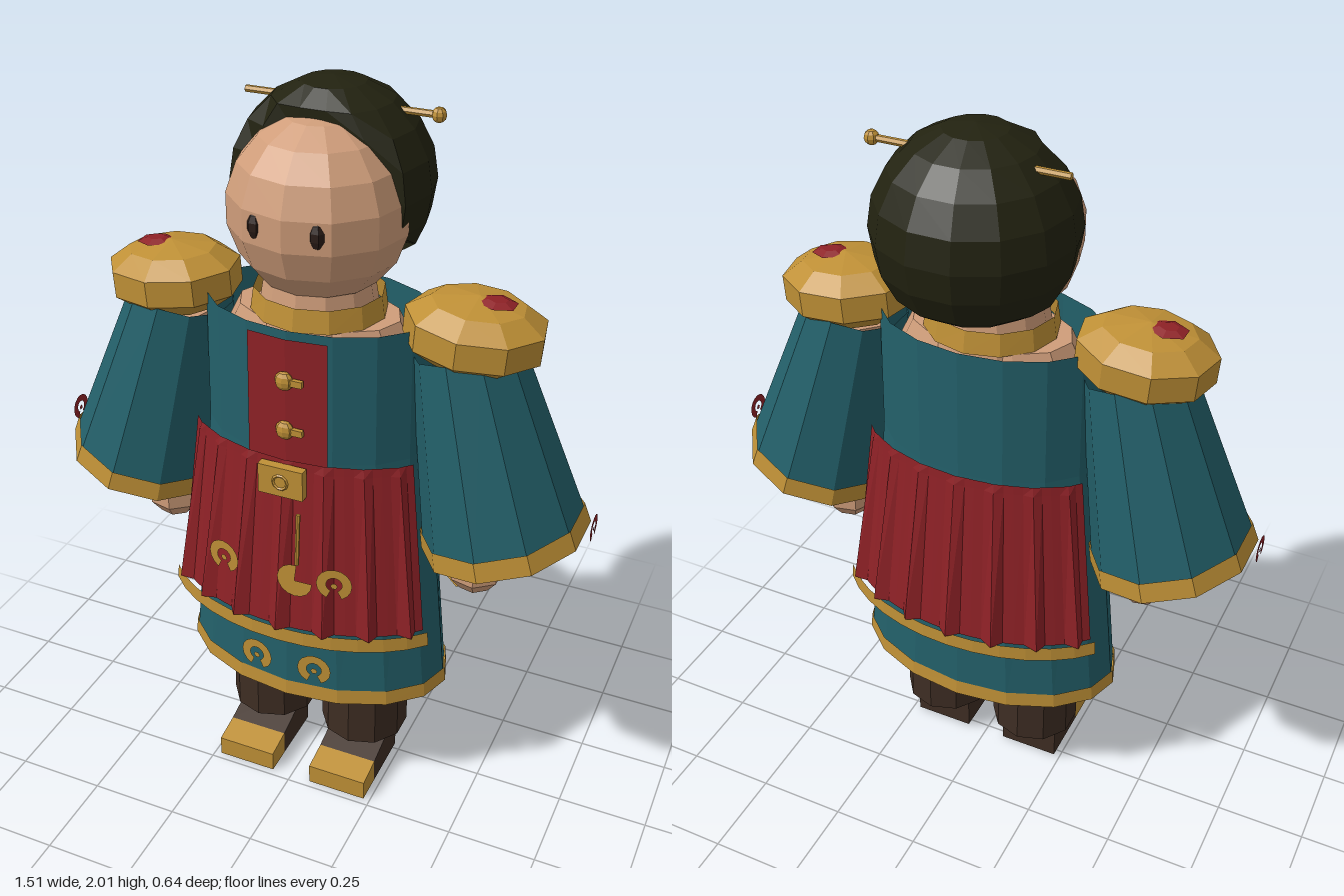
import * as THREE from 'three';

const mat = (name, color, double = false) => {
  const m = new THREE.MeshStandardMaterial({ color, flatShading: true });
  m.name = name;
  if (double) m.side = THREE.DoubleSide;
  return m;
};

export function createModel() {
  const root = new THREE.Group();
  const skin = mat('skin', 0xcf9d7a);
  const hair = mat('dark hair', 0x222210);
  const teal = mat('teal cloth', 0x23606a, true);
  const red = mat('red cloth', 0x8e2126, true);
  const gold = mat('gold trim', 0xbf9036, true);
  const brown = mat('brown cloth', 0x3e2d23, true);
  const dark = mat('dark eye', 0x2a1c17);
  const Z = 0.02; // body axis

  const add = (name, geo, m, x = 0, y = 0, z = 0, parent = root) => {
    const mesh = new THREE.Mesh(geo, m);
    mesh.name = name;
    mesh.position.set(x, y, z);
    parent.add(mesh);
    return mesh;
  };

  // Elliptical cloth wall through rows [y, halfWidth, halfDepth, pleatDepth], angle 0 = front
  const shell = (rows, from, to, n) => {
    const pos = [], idx = [];
    rows.forEach(([y, a, b, pleat = 0], r) => {
      for (let i = 0; i <= n; i++) {
        const t = from + (to - from) * i / n;
        const p = i % 4 === 2 ? pleat : 0;
        pos.push((a + p) * Math.sin(t), y, Z + (b + p) * Math.cos(t));
        if (r && i) {
          const d = r * (n + 1) + i, c = d - 1, u = d - n - 1, l = u - 1;
          idx.push(l, c, u, u, c, d);
        }
      }
    });
    const g = new THREE.BufferGeometry();
    g.setAttribute('position', new THREE.Float32BufferAttribute(pos, 3));
    g.setIndex(idx);
    g.computeVertexNormals();
    return g;
  };

  // Open ring ornament with a centre dot, facing +z
  const ornament = (name, m, r) => {
    const g = new THREE.Group();
    g.name = name;
    add('ring', new THREE.RingGeometry(r * 0.45, r, 14, 1, -Math.PI * 0.36, Math.PI * 1.72), m, 0, 0, 0, g);
    add('dot', new THREE.CircleGeometry(r * 0.2, 6), m, 0, -r * 0.1, 0, g);
    root.add(g);
    return g;
  };

  // Head and eyes
  add('head', new THREE.SphereGeometry(0.235, 12, 9), skin, 0, 1.71, 0.015).scale.set(1, 1, 0.97);
  for (const s of [-1, 1])
    add('eye', new THREE.SphereGeometry(0.024, 6, 5), dark, s * 0.08, 1.715, 0.212).scale.set(0.9, 1.4, 0.7);

  // Hair: sphere flattened along the hairline, with a shorter cut near the ears
  const hairGeo = new THREE.SphereGeometry(0.258, 14, 10);
  const hp = hairGeo.attributes.position;
  for (let i = 0; i < hp.count; i++) {
    const limit = hp.getY(i) < -0.09 ? -0.03 : 0.125;
    hp.setZ(i, Math.min(hp.getZ(i), limit));
    if (hp.getY(i) < -0.19) hp.setY(i, -0.19);
  }
  hairGeo.computeVertexNormals();
  add('hair', hairGeo, hair, 0, 1.75, -0.068);
  add('bun', new THREE.SphereGeometry(0.066, 8, 6), hair, 0, 1.96, -0.09).scale.y = 0.62;
  add('hairpin', new THREE.CylinderGeometry(0.009, 0.009, 0.5, 6), gold, 0, 1.935, -0.095).rotation.z = Math.PI / 2;
  add('hairpinKnob', new THREE.SphereGeometry(0.019, 8, 6), gold, 0.258, 1.935, -0.095);

  // Neck, shoulders and collar
  add('neck', new THREE.CylinderGeometry(0.14, 0.16, 0.12, 12), skin, 0, 1.47, Z);
  add('shoulders', new THREE.CylinderGeometry(0.22, 0.27, 0.1, 12), skin, 0, 1.39, Z).scale.z = 0.62;
  add('collar', shell([[1.5, 0.17, 0.155], [1.44, 0.178, 0.165]], 0, Math.PI * 2, 12), gold);

  // Coat body, hem and front placket
  add('coat', shell([[1.46, 0.305, 0.2], [1.1, 0.31, 0.203], [0.36, 0.383, 0.23]], 0, Math.PI * 2, 16), teal);
  add('coatHem', shell([[0.385, 0.386, 0.232], [0.34, 0.39, 0.236], [0.34, 0.375, 0.222]], 0, Math.PI * 2, 16), gold);
  add('placket', shell([[1.44, 0.315, 0.207], [1.09, 0.322, 0.211]], -0.35, 0.35, 2), red);

  // Pleated front and back aprons, open at the sides
  for (const c of [0, Math.PI]) {
    const w = 1.05;
    add(c ? 'backApron' : 'frontApron',
      shell([[1.105, 0.355, 0.218, 0.003], [1.08, 0.358, 0.22, 0.008], [0.61, 0.418, 0.27, 0.026]], c - w, c + w, 28), red);
    add(c ? 'backApronHem' : 'frontApronHem',
      shell([[0.612, 0.436, 0.284], [0.57, 0.44, 0.286], [0.57, 0.42, 0.268]], c - w, c + w, 12), gold);
  }

  // Buttons with toggles
  for (const y of [1.33, 1.19]) {
    add('button', new THREE.SphereGeometry(0.026, 8, 6), gold, 0, y, 0.235).scale.z = 0.6;
    add('toggle', new THREE.BoxGeometry(0.045, 0.018, 0.012), gold, 0.028, y, 0.236);
  }

  // Buckle and hanging tassel
  add('buckle', new THREE.BoxGeometry(0.125, 0.085, 0.025), gold, 0, 1.052, 0.255);
  add('buckleRing', new THREE.TorusGeometry(0.02, 0.004, 4, 10), gold, 0, 1.052, 0.268);
  add('tasselCord', new THREE.CylinderGeometry(0.006, 0.006, 0.15, 6), gold, 0.055, 0.9, 0.284).rotation.x = -0.08;
  add('tasselFan', new THREE.CircleGeometry(0.05, 12, Math.PI * 0.46, Math.PI * 1.55), gold, 0.055, 0.785, 0.306);

  // Ring ornaments on apron and coat
  for (const s of [-1, 1]) {
    const a = ornament('apronOrnament', gold, 0.048);
    a.position.set(s * 0.16, 0.79, 0.288);
    a.rotation.y = s * 0.2;
    const b = ornament('coatOrnament', gold, 0.048);
    b.position.set(s * 0.087, 0.455, 0.256);
    b.rotation.y = s * 0.12;
  }

  for (const s of [-1, 1]) {
    // Flared sleeve with cuff, tilted outward
    const sleeve = new THREE.Group();
    sleeve.name = s > 0 ? 'leftSleeve' : 'rightSleeve';
    sleeve.position.set(s * 0.53, 0.885, Z);
    sleeve.rotation.z = s * 0.256;
    sleeve.scale.set(0.96, 1, 1.02);
    root.add(sleeve);
    add('sleeveCloth', new THREE.CylinderGeometry(0.14, 0.222, 0.52, 10, 1, true), teal, 0, 0.29, 0, sleeve);
    add('cuff', new THREE.CylinderGeometry(0.224, 0.231, 0.055, 10, 1, true), gold, 0, 0.027, 0, sleeve);
    const o = ornament('sleeveOrnament', red, 0.036);
    o.position.set(s * 0.757, 0.97, Z);
    o.rotation.y = s * Math.PI / 2;

    // Arm and hand
    add('arm', new THREE.CylinderGeometry(0.085, 0.065, 0.6, 7), skin, s * 0.43, 1.07, Z).rotation.z = s * 0.1;
    add('hand', new THREE.SphereGeometry(0.08, 7, 5), skin, s * 0.456, 0.765, Z).scale.y = 0.93;

    // Shoulder pad with red crown
    const pad = new THREE.Group();
    pad.name = 'shoulderPad';
    pad.position.set(s * 0.415, 1.455, Z);
    pad.rotation.z = -s * 0.07;
    pad.scale.z = 0.86;
    root.add(pad);
    const profile = [[0, -0.085], [0.115, -0.08], [0.18, -0.035], [0.18, 0.035], [0.12, 0.075], [0.0, 0.095]];
    add('padBody', new THREE.LatheGeometry(profile.map(p => new THREE.Vector2(...p)), 9), gold, 0, 0, 0, pad);
    add('padCrown', new THREE.CylinderGeometry(0.025, 0.052, 0.009, 6), red, s * 0.045, 0.092, 0, pad);

    // Trouser leg and shin
    add('trouserLeg', new THREE.CylinderGeometry(0.12, 0.126, 0.4, 10, 1, true), brown, s * 0.145, 0.32, Z);
    add('shin', new THREE.CylinderGeometry(0.1, 0.1, 0.3, 8), skin, s * 0.145, 0.28, Z);

    // Wedge shoe with gold toe, extruded across x
    const wedge = pts => {
      const g = new THREE.ExtrudeGeometry(new THREE.Shape(pts.map(p => new THREE.Vector2(...p))),
        { depth: 0.172, bevelEnabled: false });
      return g.rotateY(-Math.PI / 2).translate(0.086, 0, 0);
    };
    add('shoe', wedge([[-0.02, 0], [0.15, 0], [0.15, 0.075], [-0.02, 0.125]]), brown, s * 0.145);
    add('shoeToe', wedge([[0.15, 0], [0.23, 0], [0.23, 0.06], [0.15, 0.075]]), gold, s * 0.145);
  }
  return root;
}
